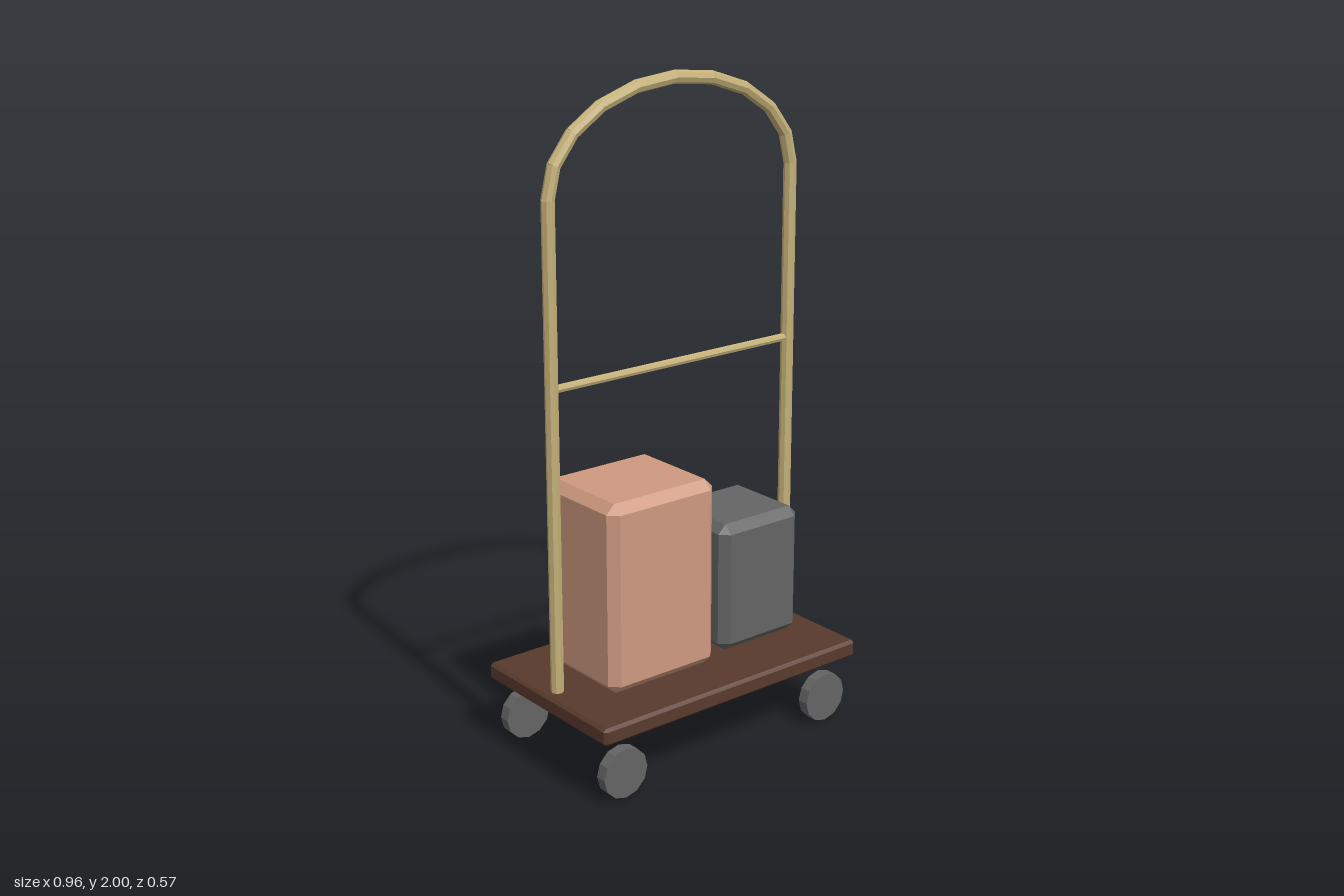
import * as THREE from 'three';
import { ConvexGeometry } from 'three/addons/geometries/ConvexGeometry.js';

export function createModel() {
  const model = new THREE.Group();
  model.name = 'luggageCart';

  const mat = (name, color) =>
    new THREE.MeshStandardMaterial({ name, color, flatShading: true });
  const brass = mat('brass', 0xc4b078);
  const wood = mat('darkWood', 0x593a2d);
  const tan = mat('tanLeather', 0xce9980);
  const grey = mat('greyRubber', 0x646464);

  const add = (name, geometry, material, parent = model) => {
    const mesh = new THREE.Mesh(geometry, material);
    mesh.name = name;
    parent.add(mesh);
    return mesh;
  };

  // Box with every edge and corner chamfered, given by its min and max corners
  const chamferBox = (name, min, max, c, material) => {
    const half = max.map((v, i) => (v - min[i]) / 2);
    const points = [];
    for (const sx of [-1, 1]) for (const sy of [-1, 1]) for (const sz of [-1, 1]) {
      for (let axis = 0; axis < 3; axis++) {
        const p = [sx, sy, sz].map((s, i) => s * (half[i] - (i === axis ? 0 : c)));
        points.push(new THREE.Vector3(...p));
      }
    }
    const mesh = add(name, new ConvexGeometry(points), material);
    mesh.position.set(...max.map((v, i) => (v + min[i]) / 2));
  };

  // Straight rod between two points, slightly lengthened to close the joints
  const rod = (name, a, b, radius, parent, extra = 0) => {
    const dir = b.clone().sub(a);
    const mesh = add(name, new THREE.CylinderGeometry(radius, radius, dir.length() + extra, 8), brass, parent);
    mesh.position.copy(a).add(b).multiplyScalar(0.5);
    mesh.quaternion.setFromUnitVectors(new THREE.Vector3(0, 1, 0), dir.normalize());
  };

  // Platform and the two cases standing on it
  chamferBox('platform', [-0.48, 0.2, -0.287], [0.48, 0.254, 0.287], 0.009, wood);
  chamferBox('largeSuitcase', [-0.34, 0.254, -0.193], [0.046, 0.835, 0.144], 0.028, tan);
  chamferBox('smallSuitcase', [0.096, 0.254, -0.175], [0.402, 0.66, 0.115], 0.027, grey);

  // Frame: two posts, an elliptical arch and a cross rail
  const frame = new THREE.Group();
  frame.name = 'frame';
  model.add(frame);
  const halfWidth = 0.436, springY = 1.694, rise = 0.288, radius = 0.0195;
  const v = (x, y) => new THREE.Vector3(x, y, 0);
  for (const s of [-1, 1]) {
    rod(s > 0 ? 'leftPost' : 'rightPost', v(s * halfWidth, 0.25), v(s * halfWidth, springY), radius, frame);
  }
  const archPoint = (i) => {
    const t = (i / 10) * Math.PI;
    return v(-halfWidth * Math.cos(t), springY + rise * Math.sin(t));
  };
  for (let i = 0; i < 10; i++) rod('archSegment', archPoint(i), archPoint(i + 1), radius, frame, 0.005);
  rod('crossRail', v(-halfWidth, 1.164), v(halfWidth, 1.164), 0.0125, frame);

  // Four wheels
  const wheelGeometry = new THREE.CylinderGeometry(0.077, 0.077, 0.035, 12).rotateX(Math.PI / 2);
  for (const x of [-0.386, 0.386]) for (const z of [-0.24, 0.24]) {
    add(`${z > 0 ? 'front' : 'back'}${x > 0 ? 'Left' : 'Right'}Wheel`, wheelGeometry, grey)
      .position.set(x, 0.079, z);
  }

  return model;
}
